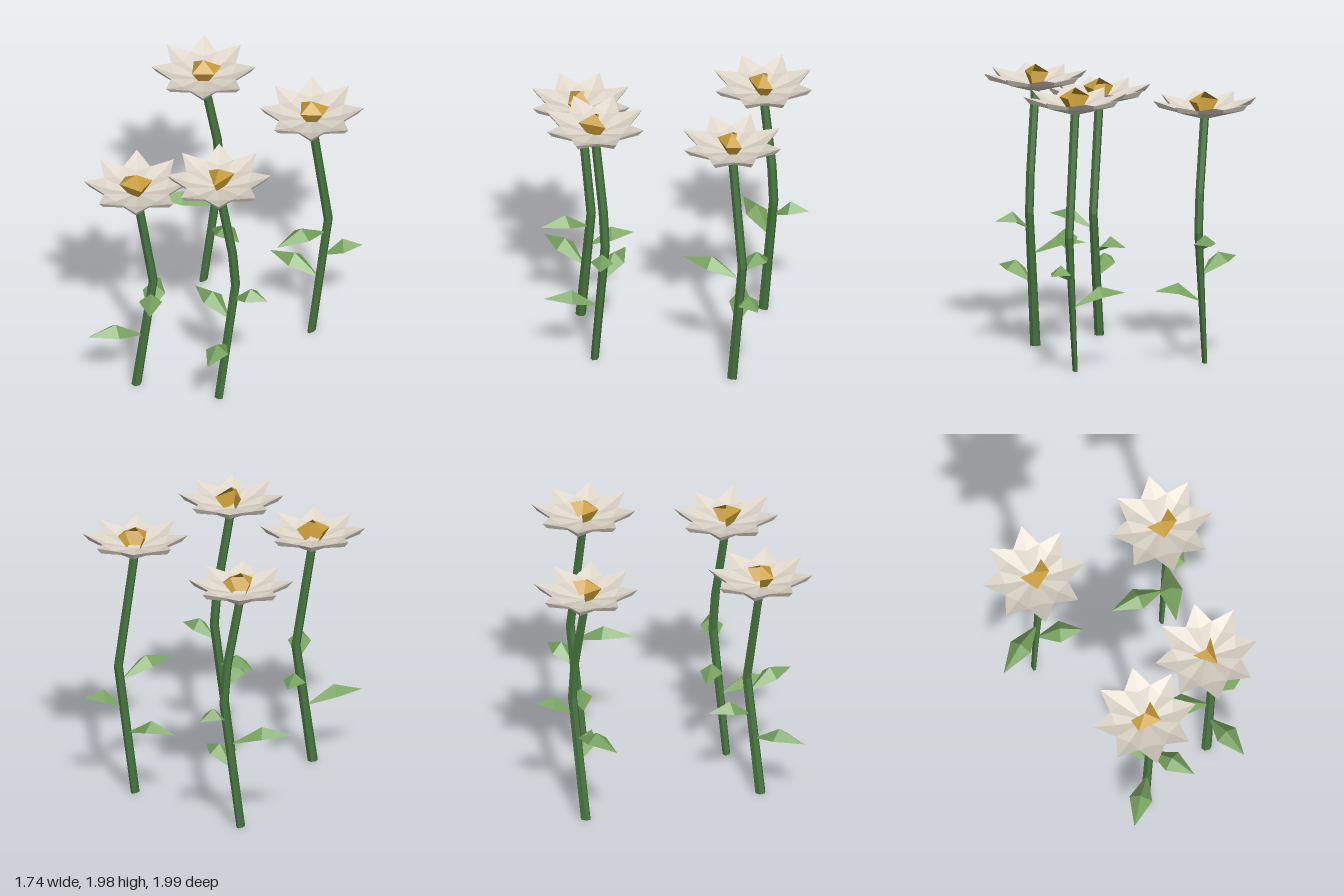
import * as THREE from 'three';

const mat = (name, color) => {
  const m = new THREE.MeshStandardMaterial({ color, flatShading: true, side: THREE.DoubleSide });
  m.name = name;
  return m;
};

// mesh from a list of triangles, each [a, b, c] of [x, y, z]
function triMesh(name, tris, material) {
  const g = new THREE.BufferGeometry();
  g.setFromPoints(tris.flat().map((p) => new THREE.Vector3(...p)));
  g.computeVertexNormals();
  const m = new THREE.Mesh(g, material);
  m.name = name;
  return m;
}

// one folded, keeled petal pointing along +x; both halves mirrored in z
function petalTriangles() {
  const tris = [];
  for (const s of [1, -1]) {
    const inner = [0, 0.035, 0], crease = [0.2, 0.075, 0], tip = [0.36, 0.14, 0];
    const notch = [0.222, 0.1, 0.092 * s], under = [0.208, 0.075, 0.086 * s];
    const base = [0, 0, 0], keel = [0.32, 0.092, 0];
    const half = [
      [inner, notch, crease], [crease, notch, tip],
      [base, keel, under], [under, keel, tip], [under, tip, notch],
    ];
    for (const [a, b, c] of half) tris.push(s > 0 ? [a, b, c] : [a, c, b]);
  }
  return tris;
}

// faceted flower centre, open on one side; rim is a list of [x, z]
function centreTriangles(rim) {
  const tris = [], apex = [0, 0.195, 0];
  const up = rim.map(([x, z]) => [x, 0.133, z]);
  const low = rim.map(([x, z]) => [x * 0.45, 0.04, z * 0.45]);
  for (let i = 0; i < rim.length - 1; i++) {
    tris.push([apex, up[i], up[i + 1]], [up[i], low[i], low[i + 1]], [up[i], low[i + 1], up[i + 1]]);
  }
  return tris;
}

// stem lofted through rings of [x, y, z, radiusX, radiusZ], closed at the foot
function stemTriangles(rings) {
  const sides = 6, tris = [];
  const loops = rings.map(([x, y, z, rx, rz]) => Array.from({ length: sides }, (_, i) => {
    const a = (i / sides) * Math.PI * 2;
    return [x + Math.cos(a) * rx, y, z + Math.sin(a) * rz];
  }));
  for (let i = 0; i < sides; i++) {
    const j = (i + 1) % sides;
    for (let k = 0; k < loops.length - 1; k++) {
      const a = loops[k], b = loops[k + 1];
      tris.push([a[i], b[i], b[j]], [a[i], b[j], a[j]]);
    }
    tris.push([rings[0].slice(0, 3), loops[0][i], loops[0][j]]);
  }
  return tris;
}

// roof-shaped leaf from its base to a tip, with two drooping sides
function leafTriangles([bx, by, bz], tx, tz) {
  const dx = tx - bx, dz = tz - bz, w = 0.08 / Math.hypot(dx, dz);
  const mx = bx + dx / 2, mz = bz + dz / 2;
  const base = [bx, by, bz], ridge = [mx, by + 0.135, mz], tip = [tx, by + 0.075, tz];
  const a = [mx - dz * w, by + 0.07, mz + dx * w], b = [mx + dz * w, by + 0.07, mz - dx * w];
  return [[base, a, ridge], [ridge, a, tip], [base, ridge, b], [ridge, tip, b]];
}

// head: blossom base; foot: stem radii at the ground; knees: heights of the stem bends;
// rim: outline of the centre; leaves: [base height, tip x, tip z]
const flowers = [
  { // back right
    head: [-0.51, 1.7, -0.51], foot: [0.018, 0.037], knees: [0.93, 1.2],
    rim: [[-0.095, 0], [0, 0.11], [0.11, 0], [0.075, -0.1]],
    leaves: [[0.62, -0.78, -0.26], [0.435, -0.16, -0.51], [0.8, -0.48, -0.86]],
  },
  { // back left
    head: [0.42, 1.785, -0.635], foot: [0.018, 0.037], knees: [0.95],
    rim: [[-0.1, 0], [0, 0.105], [0.11, 0], [0.07, -0.1]],
    leaves: [[0.45, 0.06, -0.59], [0.84, 0.44, -0.28], [0.64, 0.64, -0.91]],
  },
  { // front left
    head: [0.505, 1.77, 0.34], foot: [0.036, 0.027], knees: [0.95, 1.22],
    rim: [[-0.095, 0.005], [0.055, 0.1], [0.053, -0.1]],
    leaves: [[0.65, 0.17, 0.24], [0.83, 0.82, 0.18], [0.445, 0.7, 0.64]],
  },
  { // front middle
    head: [0, 1.6, 0.635], foot: [0.033, 0.037], knees: [0.87],
    rim: [[-0.1, 0.01], [-0.065, 0.1], [0.1, 0.055], [0.06, -0.095]],
    leaves: [[0.755, 0.31, 0.81], [0.59, -0.12, 0.29], [0.41, -0.15, 0.96]],
  },
];

export function createModel() {
  const petalWhite = mat('petalWhite', 0xded6c9);
  const centreGold = mat('centreGold', 0xc79b38);
  const stemGreen = mat('stemGreen', 0x47753f);
  const leafGreen = mat('leafGreen', 0x78a45f);
  const model = new THREE.Group();
  model.name = 'flowers';

  for (const { head, foot, knees, rim, leaves } of flowers) {
    const flower = new THREE.Group();
    flower.name = 'flower';
    const [x, y, z] = head;
    // point on the stem's axis, pushed out by a share of the full bend
    const axis = (h, bend) => [x + 0.062 * bend, h, z - 0.1 * bend];

    // stem
    const rings = [
      [...axis(0, 0), ...foot],
      ...knees.map((h, i) => [...axis(h, 1 - 0.18 * i), 0.03, 0.033]),
      [...axis(y + 0.03, 0), 0.031, 0.031],
    ];
    flower.add(triMesh('stem', stemTriangles(rings), stemGreen));

    // leaves
    for (const [h, tx, tz] of leaves) {
      flower.add(triMesh('leaf', leafTriangles(axis(h, h / knees[0]), tx, tz), leafGreen));
    }

    // blossom of eight petals around the centre
    const blossom = new THREE.Group();
    blossom.name = 'blossom';
    blossom.position.set(x, y, z);
    for (let i = 0; i < 8; i++) {
      const petal = triMesh('petal', petalTriangles(), petalWhite);
      petal.rotation.y = (i * Math.PI) / 4;
      blossom.add(petal);
    }
    blossom.add(triMesh('flowerCentre', centreTriangles(rim), centreGold));
    flower.add(blossom);
    model.add(flower);
  }
  return model;
}
